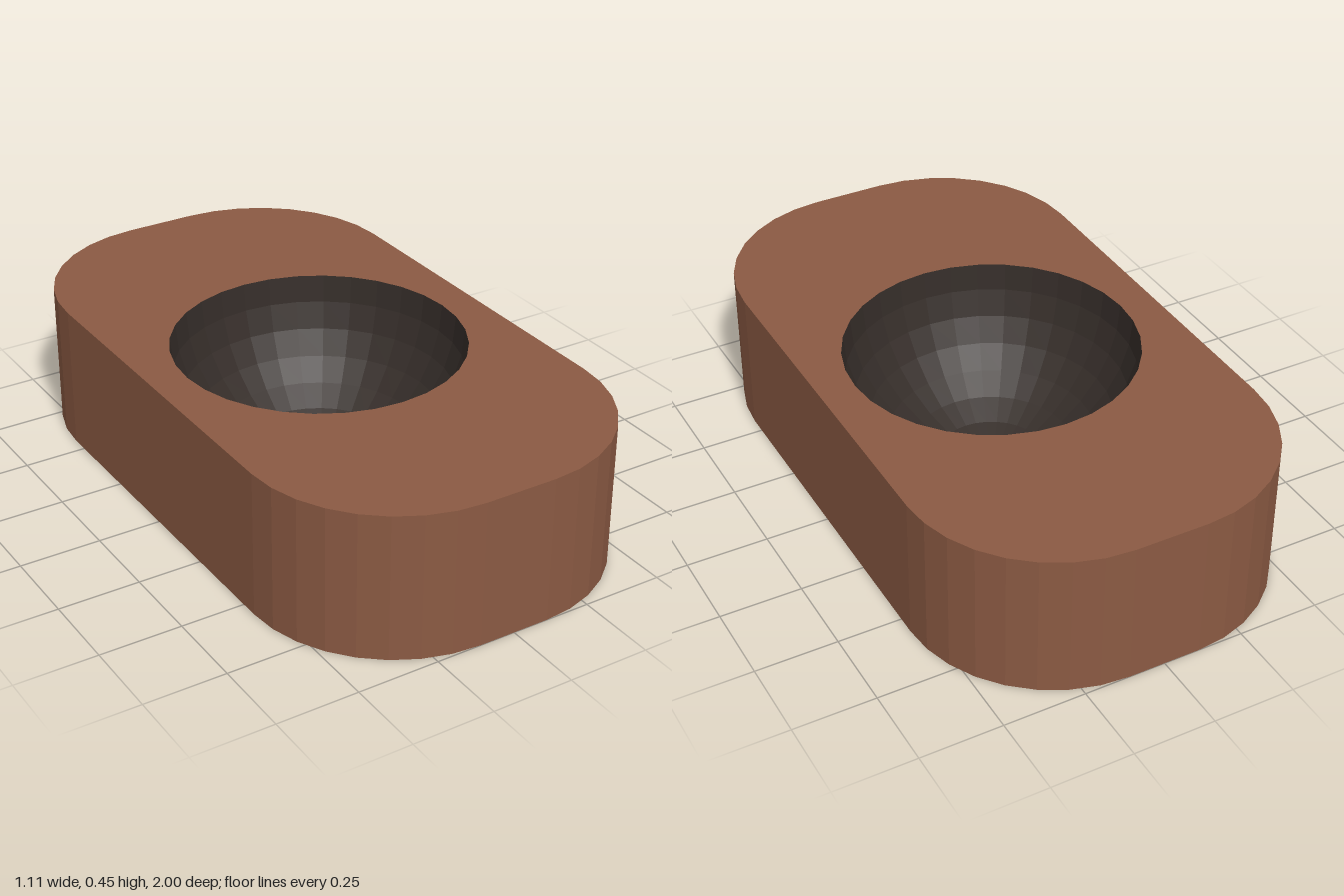
import * as THREE from 'three';

const HEIGHT = 0.45;
const HALF_W = 0.555;
const HALF_L = 1;
const RADIUS = 0.444; // corner radius and bowl radius

// Points along an arc, counter-clockwise
function arc(cx, cy, r, start, sweep, steps) {
  return Array.from({ length: steps + 1 }, (_, i) => {
    const a = start + (sweep * i) / steps;
    return new THREE.Vector2(cx + r * Math.cos(a), cy + r * Math.sin(a));
  });
}

// Rounded rectangle, counter-clockwise from the right side
function blockOutline() {
  const x = HALF_W - RADIUS, y = HALF_L - RADIUS;
  return [[x, y], [-x, y], [-x, -y], [x, -y]].flatMap(([cx, cy], i) =>
    arc(cx, cy, RADIUS, (i * Math.PI) / 2, Math.PI / 2, 8));
}

// Upright wall following a closed outline
function wallGeometry(points) {
  const pos = [];
  points.forEach((a, i) => {
    const b = points[(i + 1) % points.length];
    pos.push(a.x, 0, -a.y, b.x, 0, -b.y, b.x, HEIGHT, -b.y);
    pos.push(a.x, 0, -a.y, b.x, HEIGHT, -b.y, a.x, HEIGHT, -a.y);
  });
  const geometry = new THREE.BufferGeometry();
  geometry.setAttribute('position', new THREE.Float32BufferAttribute(pos, 3));
  geometry.computeVertexNormals();
  return geometry;
}

export function createModel() {
  const model = new THREE.Group();
  model.name = 'blockWithBowl';
  const brown = new THREE.MeshStandardMaterial({ color: 0x8b5a43, flatShading: true });
  const dark = new THREE.MeshStandardMaterial({ color: 0x352d29, flatShading: true, side: THREE.DoubleSide });

  const add = (name, geometry, material) => {
    const mesh = new THREE.Mesh(geometry, material);
    mesh.name = name;
    model.add(mesh);
  };

  const outline = blockOutline();

  // Block sides
  add('sideWall', wallGeometry(outline), brown);

  // Top face with the round opening
  const top = new THREE.Shape(outline);
  top.holes.push(new THREE.Path(arc(0, 0, RADIUS, 0, Math.PI * 2, 32).slice(0, 32)));
  add('topFace', new THREE.ShapeGeometry(top).rotateX(-Math.PI / 2).translate(0, HEIGHT, 0), brown);

  // Closed underside
  add('underside', new THREE.ShapeGeometry(new THREE.Shape(outline)).rotateX(Math.PI / 2), brown);

  // Hemispherical hollow, from the rim down to its lowest point
  const profile = arc(0, HEIGHT, RADIUS, 0, -Math.PI / 2, 8);
  profile[8].x = 0;
  add('bowl', new THREE.LatheGeometry(profile, 32), dark);

  return model;
}
